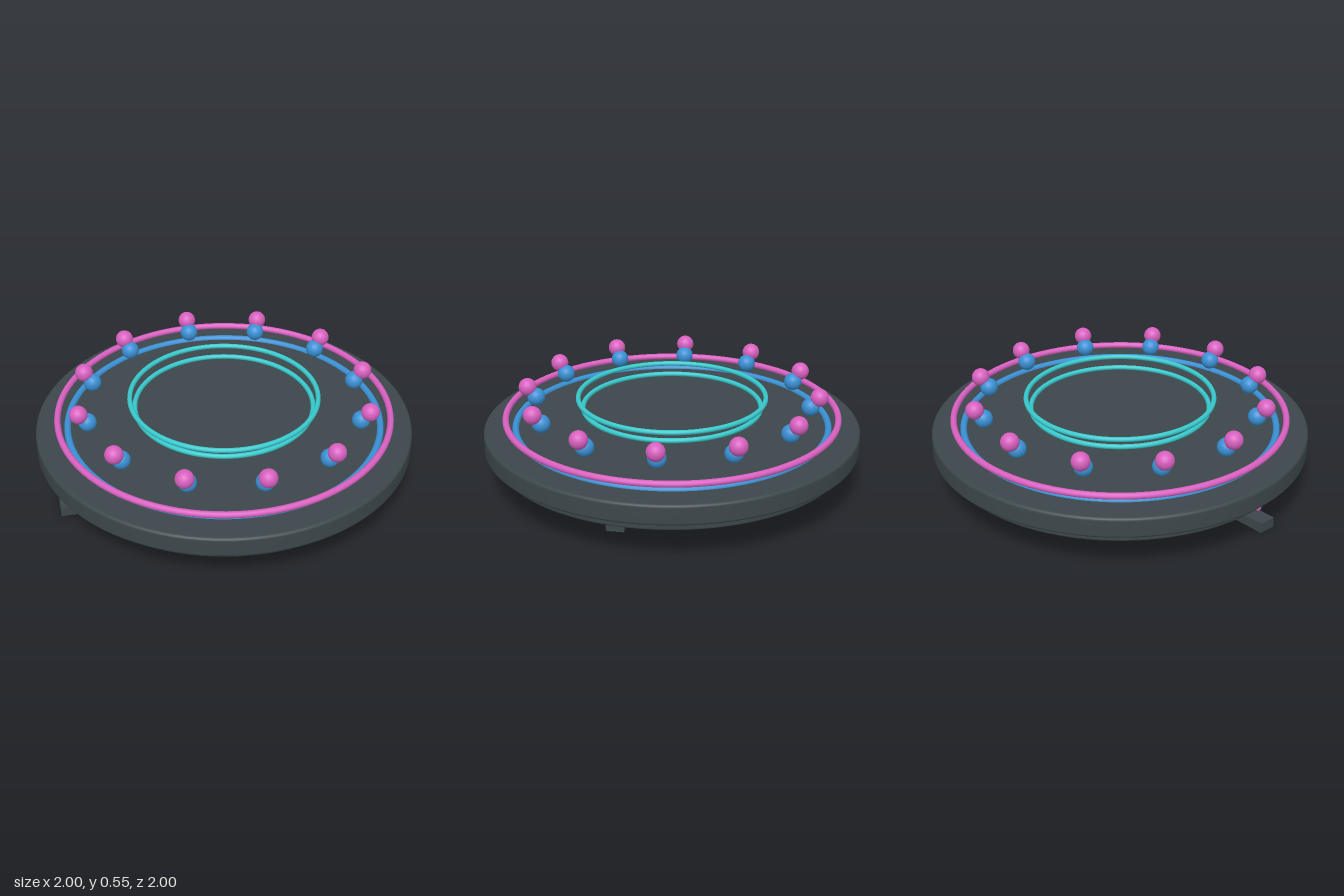
import * as THREE from 'three';

const mat = (name, color) => {
  const m = new THREE.MeshStandardMaterial({ color });
  m.name = name;
  return m;
};

export function createModel() {
  const slate = mat('dark slate', 0x3c474b);
  const pink = mat('pink', 0xd860c0);
  const blue = mat('blue', 0x3a90d4);
  const cyan = mat('cyan', 0x38c8cc);
  const model = new THREE.Group();

  const add = (name, geometry, material, x = 0, y = 0, z = 0, parent = model) => {
    const mesh = new THREE.Mesh(geometry, material);
    mesh.name = name;
    mesh.position.set(x, y, z);
    parent.add(mesh);
    return mesh;
  };

  // Disc with rounded rims; the flat faces are separate so they shade flat
  const disc = (name, radius, y0, y1, round) => {
    const group = new THREE.Group();
    group.name = name;
    const rim = [];
    for (const [cy, start] of [[y0 + round, -Math.PI / 2], [y1 - round, 0]]) {
      for (let i = 0; i <= 5; i++) {
        const a = start + (i / 5) * Math.PI / 2;
        rim.push(new THREE.Vector2(radius - round + round * Math.cos(a), cy + round * Math.sin(a)));
      }
    }
    add(name + 'Rim', new THREE.LatheGeometry(rim, 96), slate, 0, 0, 0, group);
    const cap = new THREE.CircleGeometry(radius - round, 96);
    add(name + 'Top', cap, slate, 0, y1, 0, group).rotation.x = -Math.PI / 2;
    add(name + 'Bottom', cap, slate, 0, y0, 0, group).rotation.x = Math.PI / 2;
    model.add(group);
  };
  disc('mainDisc', 1, 0.225, 0.335, 0.016);
  disc('lowerDisc', 0.942, 0.172, 0.235, 0.012);

  // Glowing rings
  const ring = (name, radius, tube, y, material) => {
    add(name, new THREE.TorusGeometry(radius, tube, 14, 96), material, 0, y).rotation.x = Math.PI / 2;
  };
  ring('blueRing', 0.832, 0.018, 0.335, blue);
  ring('pinkRing', 0.882, 0.017, 0.389, pink);
  ring('lowerCyanRing', 0.472, 0.013, 0.432, cyan);
  ring('upperCyanRing', 0.497, 0.013, 0.486, cyan);

  // Twelve pairs of lamps around the disc
  const ball = new THREE.SphereGeometry(0.048, 24, 16);
  for (let i = 0; i < 12; i++) {
    const a = (i / 12) * Math.PI * 2;
    const s = Math.sin(a), c = Math.cos(a);
    add('blueLamp', ball, blue, 0.733 * s, 0.452, 0.733 * c);
    add('pinkLamp', ball, pink, 0.778 * s, 0.506, 0.778 * c);
  }

  // Slightly turned bar under the disc with a thin light strip above it
  const bar = new THREE.Group();
  bar.name = 'bar';
  bar.position.set(-0.14, 0, 0.17);
  bar.rotation.y = -0.067;
  add('barBody', new THREE.BoxGeometry(1.577, 0.054, 0.093), slate, 0, 0.027, 0, bar);
  add('barStrip', new THREE.BoxGeometry(1.462, 0.012, 0.024), pink, 0, 0.097, 0, bar);
  model.add(bar);

  return model;
}
